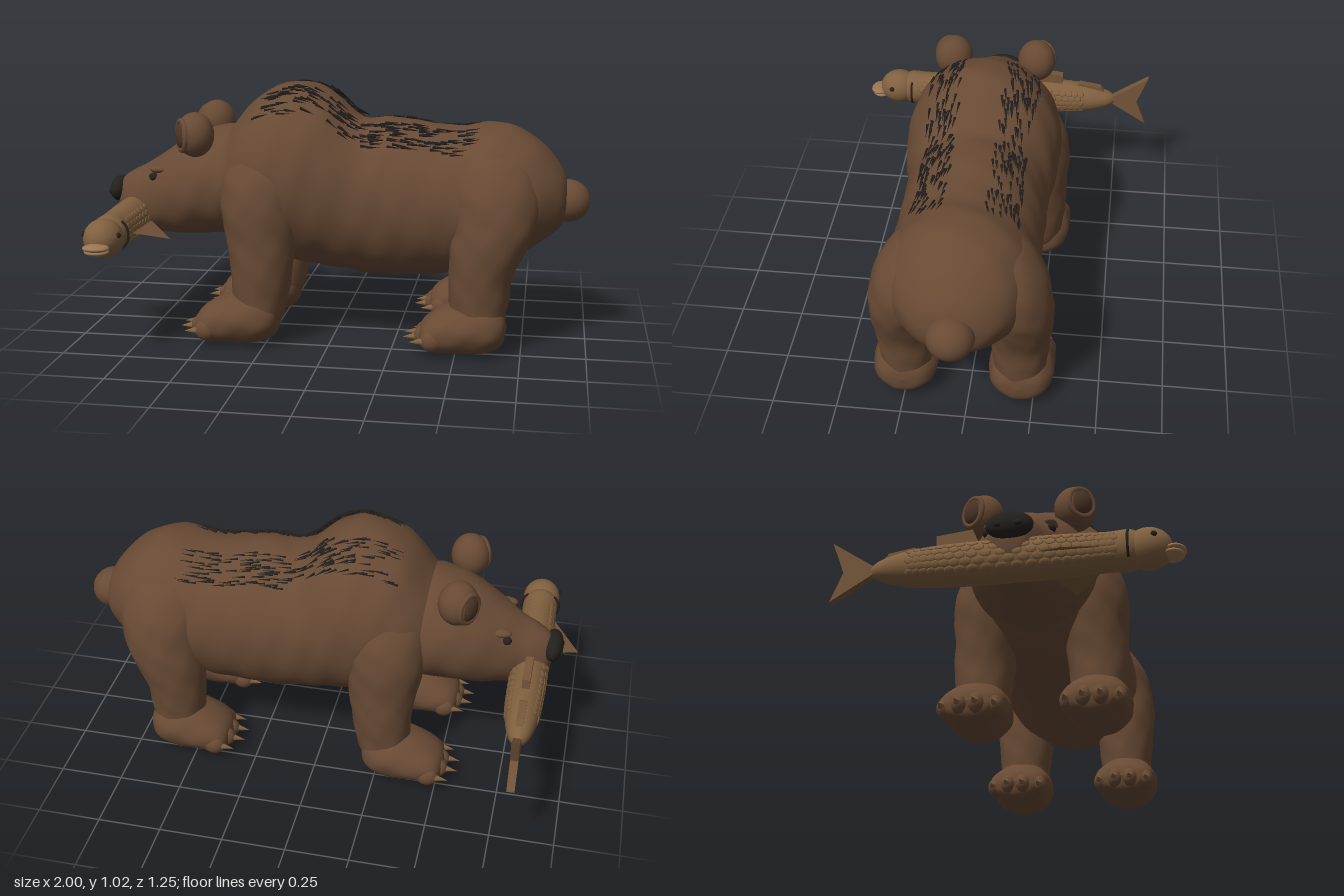
import * as THREE from 'three';
import { mergeGeometries } from 'three/addons/utils/BufferGeometryUtils.js';

const mat = (color, side = THREE.FrontSide) => new THREE.MeshStandardMaterial({ color, side });
const fur = mat(0x684a34), innerFur = mat(0x4a3426), dark = mat(0x24201e), claw = mat(0x80603f);
const fishSkin = mat(0x80603f), fishPale = mat(0x9a7650), fin = mat(0x755639, THREE.DoubleSide);
const MID = 0.025; // the animal's middle plane in z

const mesh = (geo, material, name, pos = [0, 0, 0], scale = [1, 1, 1]) => {
  const m = new THREE.Mesh(geo, material);
  m.name = name;
  m.position.set(...pos);
  m.scale.set(...scale);
  return m;
};
const ball = (material, name, pos, scale) =>
  mesh(new THREE.SphereGeometry(1, 24, 16), material, name, pos, scale);

// Smooth interpolation of rows [t, a, b, ra, rb]; returns a sampler of (u, angle)
function section(rows) {
  const line = (f) => new THREE.CatmullRomCurve3(rows.map(f), false, 'catmullrom', 0.5);
  const centre = line((r) => new THREE.Vector3(r[0], r[1], r[2]));
  const radius = line((r) => new THREE.Vector3(r[3], r[4], 0));
  return (u, ang, bump = 0) => {
    const c = centre.getPoint(u), r = radius.getPoint(u);
    const k = 1 + bump * (Math.sin(c.x * 47 + ang * 5) + Math.sin(c.x * 29 - ang * 8 + 1));
    return [c.x, c.y + Math.max(0.001, r.x) * k * Math.cos(ang), c.z + Math.max(0.001, r.y) * k * Math.sin(ang)];
  };
}

// Loft elliptical rings along axis 0 (x), 1 (y) or 2 (z); t must increase
function loft(rows, axis, bump = 0, seg = 40, steps = 5) {
  const at = section(rows), n = (rows.length - 1) * steps, pos = [], idx = [];
  for (let i = 0; i <= n; i++)
    for (let j = 0; j < seg; j++) {
      const q = at(i / n, (j / seg) * Math.PI * 2, bump), p = [];
      q.forEach((v, k) => { p[(axis + k) % 3] = v; });
      pos.push(...p);
      if (i < n) {
        const a = i * seg + j, b = i * seg + ((j + 1) % seg);
        idx.push(a, b, a + seg, b, b + seg, a + seg);
      }
    }
  const g = new THREE.BufferGeometry();
  g.setAttribute('position', new THREE.Float32BufferAttribute(pos, 3));
  g.setIndex(idx);
  g.computeVertexNormals();
  return g;
}

// [x, y, z, half height, half width]
const BODY = [
  [-0.5, 0.62, MID, 0.001, 0.001], [-0.47, 0.62, MID, 0.14, 0.15], [-0.4, 0.625, MID, 0.23, 0.24],
  [-0.3, 0.65, MID, 0.315, 0.29], [-0.15, 0.655, MID, 0.362, 0.31], [-0.03, 0.63, MID, 0.352, 0.3],
  [0.1, 0.57, MID, 0.312, 0.28], [0.25, 0.565, MID, 0.315, 0.28], [0.45, 0.56, MID, 0.293, 0.28],
  [0.6, 0.585, MID, 0.285, 0.285], [0.7, 0.595, MID, 0.263, 0.265], [0.8, 0.6, MID, 0.2, 0.22],
  [0.88, 0.585, MID, 0.125, 0.145], [0.91, 0.58, MID, 0.06, 0.07], [0.92, 0.58, MID, 0.001, 0.001]];
const HEAD = [
  [-0.905, 0.525, MID, 0.001, 0.001], [-0.89, 0.525, MID, 0.075, 0.06], [-0.84, 0.52, MID, 0.12, 0.095],
  [-0.78, 0.53, MID, 0.14, 0.115], [-0.7, 0.555, MID, 0.168, 0.155], [-0.6, 0.585, MID, 0.2, 0.205],
  [-0.5, 0.61, MID, 0.215, 0.23], [-0.38, 0.62, MID, 0.21, 0.23], [-0.25, 0.62, MID, 0.1, 0.1]];
// [y, z offset, x, half width, half length]
const FORELEG = [
  [0.08, 0.22, -0.28, 0.001, 0.001], [0.1, 0.22, -0.28, 0.09, 0.09], [0.2, 0.22, -0.27, 0.105, 0.112],
  [0.3, 0.22, -0.265, 0.115, 0.12], [0.42, 0.21, -0.265, 0.125, 0.14], [0.55, 0.2, -0.27, 0.14, 0.155],
  [0.68, 0.17, -0.26, 0.14, 0.16], [0.8, 0.12, -0.25, 0.1, 0.12], [0.85, 0.1, -0.25, 0.001, 0.001]];
const HINDLEG = [
  [0.08, 0.22, 0.58, 0.001, 0.001], [0.1, 0.22, 0.58, 0.09, 0.09], [0.2, 0.22, 0.585, 0.105, 0.112],
  [0.3, 0.22, 0.59, 0.115, 0.12], [0.42, 0.22, 0.615, 0.125, 0.145], [0.52, 0.2, 0.635, 0.14, 0.162],
  [0.65, 0.17, 0.63, 0.14, 0.17], [0.76, 0.13, 0.62, 0.1, 0.12], [0.81, 0.1, 0.62, 0.001, 0.001]];
const PAW = [
  [-0.18, 0.075, 0, 0.001, 0.001], [-0.16, 0.075, 0, 0.055, 0.09], [-0.1, 0.09, 0, 0.085, 0.12],
  [0, 0.107, 0, 0.106, 0.126], [0.09, 0.112, 0, 0.1, 0.118], [0.145, 0.112, 0, 0.065, 0.075],
  [0.16, 0.112, 0, 0.001, 0.001]];

function leg(rows, side, pawX, name) {
  const g = new THREE.Group();
  g.name = name;
  const placed = rows.map(([y, o, x, rz, rx]) => [y, MID + side * o, x, rz, rx]);
  g.add(mesh(loft(placed, 1, 0.009), fur, name + 'Limb'));
  const z = MID + side * 0.225;
  g.add(mesh(loft(PAW, 0, 0.01), fur, name + 'Paw', [pawX, 0, z]));
  // four toes, each with a claw
  for (const o of [-0.09, -0.03, 0.03, 0.09]) {
    const back = Math.abs(o) > 0.05 ? 0.03 : 0;
    g.add(ball(fur, 'toe', [pawX - 0.15 + back, 0.07, z + o], [0.045, 0.042, 0.034]));
    const c = mesh(new THREE.ConeGeometry(0.021, 0.075, 10), claw, 'claw', [pawX - 0.2 + back, 0.068, z + o * 1.08]);
    c.rotation.z = Math.PI / 2 + 0.1;
    g.add(c);
  }
  return g;
}

// Thin tufts lying backwards along both sides of the spine
function backTufts() {
  let seed = 7;
  const rnd = () => (seed = (seed * 16807) % 2147483647) / 2147483647;
  const at = section(BODY), up = new THREE.Vector3(0, 1, 0), parts = [];
  for (const side of [-1, 1])
    for (let i = 0; i < 170; i++) {
      const u = (3 + rnd() * 5.5) / 14, ang = side * (0.27 + rnd() * 0.52);
      const p = new THREE.Vector3(...at(u, ang));
      const d = new THREE.Vector3(...at(u + 0.02, ang + side * 0.03)).sub(p).normalize();
      d.y += 0.12;
      const g = new THREE.ConeGeometry(0.0055, 0.055, 4);
      g.applyQuaternion(new THREE.Quaternion().setFromUnitVectors(up, d.normalize()));
      parts.push(g.translate(p.x + d.x * 0.02, p.y + 0.006, p.z + d.z * 0.02));
    }
  return mesh(mergeGeometries(parts), dark, 'backTufts');
}

// Flat fin in the yz plane from [z, y] points
function flatFin(points, name) {
  const s = new THREE.Shape(points.map(([z, y]) => new THREE.Vector2(-z, y)));
  const g = new THREE.ExtrudeGeometry(s, { depth: 0.03, bevelEnabled: false });
  const m = mesh(g.translate(0, 0, -0.015), fin, name);
  m.rotation.y = Math.PI / 2;
  return m;
}

// Fish held crosswise, its head towards +z
function fish() {
  const g = new THREE.Group();
  g.name = 'fish';
  g.position.set(-0.82, 0.465, 0);
  const rows = [
    [-0.5, 0, 0, 0.001, 0.001], [-0.485, 0, 0, 0.015, 0.018], [-0.44, 0, 0, 0.042, 0.042],
    [-0.33, 0, 0, 0.063, 0.068], [-0.15, 0, 0, 0.071, 0.079], [0.15, 0, 0, 0.072, 0.079],
    [0.35, 0, 0, 0.067, 0.072], [0.45, 0, 0, 0.066, 0.07], [0.5, 0, 0, 0.001, 0.001]];
  g.add(mesh(loft(rows, 2), fishSkin, 'fishBody'));
  g.add(ball(fishSkin, 'fishHead', [0, 0, 0.495], [0.075, 0.075, 0.085]));
  g.add(ball(fishPale, 'upperLip', [0, -0.017, 0.585], [0.052, 0.015, 0.04]));
  g.add(ball(fishPale, 'lowerLip', [0, -0.033, 0.578], [0.048, 0.014, 0.04]));
  g.add(flatFin([[-0.47, 0.012], [-0.63, 0.122], [-0.585, 0], [-0.63, -0.112], [-0.47, -0.012]], 'tailFin'));
  g.add(flatFin([[-0.09, 0.06], [-0.12, 0.13], [-0.25, 0.115], [-0.25, 0.06]], 'dorsalFin'));
  g.add(flatFin([[-0.3, 0.06], [-0.33, 0.077], [-0.42, 0.062], [-0.44, 0.04]], 'rearFin'));
  for (const s of [-1, 1]) {
    g.add(ball(dark, 'fishEye', [s * 0.068, 0.02, 0.52], [0.009, 0.011, 0.011]));
    const gill = mesh(new THREE.TorusGeometry(0.066, 0.005, 6, 20, 1.8), dark, 'gill', [s * 0.011, 0, 0.43]);
    gill.rotation.z = s > 0 ? -0.9 : Math.PI - 0.9;
    g.add(gill);
    const tri = new THREE.BufferGeometry();
    tri.setAttribute('position', new THREE.Float32BufferAttribute(
      [s * 0.06, -0.01, 0.11, s * 0.18, -0.065, 0.22, s * 0.06, -0.01, 0.36], 3));
    tri.computeVertexNormals();
    g.add(mesh(tri, fin, 'pectoralFin'));
  }
  // overlapping scales on both flanks
  const at = section(rows), scales = [];
  for (const s of [0, Math.PI])
    for (let r = -2; r <= 2; r++)
      for (let i = 0; i < 20; i++) {
        const ang = s + r * 0.33, [z, x, y] = at((3 + (i + (r & 1) * 0.5) * 0.165) / 8, ang);
        const c = new THREE.SphereGeometry(1, 8, 6).scale(0.004, 0.014, 0.02);
        scales.push(c.rotateZ(ang).translate(x, y, z));
      }
  g.add(mesh(mergeGeometries(scales), fishSkin, 'fishScales'));
  return g;
}

export function createModel() {
  const model = new THREE.Group();
  model.name = 'bearWithFish';
  model.add(mesh(loft(BODY, 0, 0.006, 56), fur, 'body'));
  model.add(mesh(loft(HEAD, 0, 0.006, 48), fur, 'head'));
  model.add(ball(fur, 'tail', [0.915, 0.57, MID], [0.085, 0.083, 0.088]));
  model.add(ball(dark, 'nose', [-0.9, 0.56, MID], [0.04, 0.052, 0.085]));
  for (const s of [-1, 1]) {
    const side = s > 0 ? 'Front' : 'Back';
    model.add(leg(FORELEG, s, -0.35, 'foreleg' + side));
    model.add(leg(HINDLEG, s, 0.535, 'hindleg' + side));
    // ear with a rim and a darker hollow, turned forwards and outwards
    const ear = new THREE.Group();
    ear.name = 'ear' + side;
    ear.position.set(-0.535, 0.82, MID + s * 0.175);
    ear.rotation.y = s * 0.6;
    ear.add(ball(fur, 'earShell', [0, 0, 0], [0.075, 0.088, 0.08]));
    ear.add(ball(innerFur, 'earHollow', [-0.05, 0, 0], [0.029, 0.054, 0.046]));
    const rim = mesh(new THREE.TorusGeometry(0.052, 0.011, 8, 28), fur, 'earRim', [-0.054, 0, 0], [0.95, 1.1, 1]);
    rim.rotation.y = Math.PI / 2;
    ear.add(rim);
    model.add(ear);
    model.add(ball(dark, 'eye', [-0.725, 0.635, MID + s * 0.117], [0.019, 0.017, 0.016]));
    model.add(ball(fur, 'brow', [-0.7, 0.665, MID + s * 0.11], [0.042, 0.016, 0.026]));
    model.add(ball(dark, 'nostril', [-0.932, 0.55, MID + s * 0.035], [0.01, 0.012, 0.014]));
  }
  model.add(backTufts(), fish());
  return model;
}
